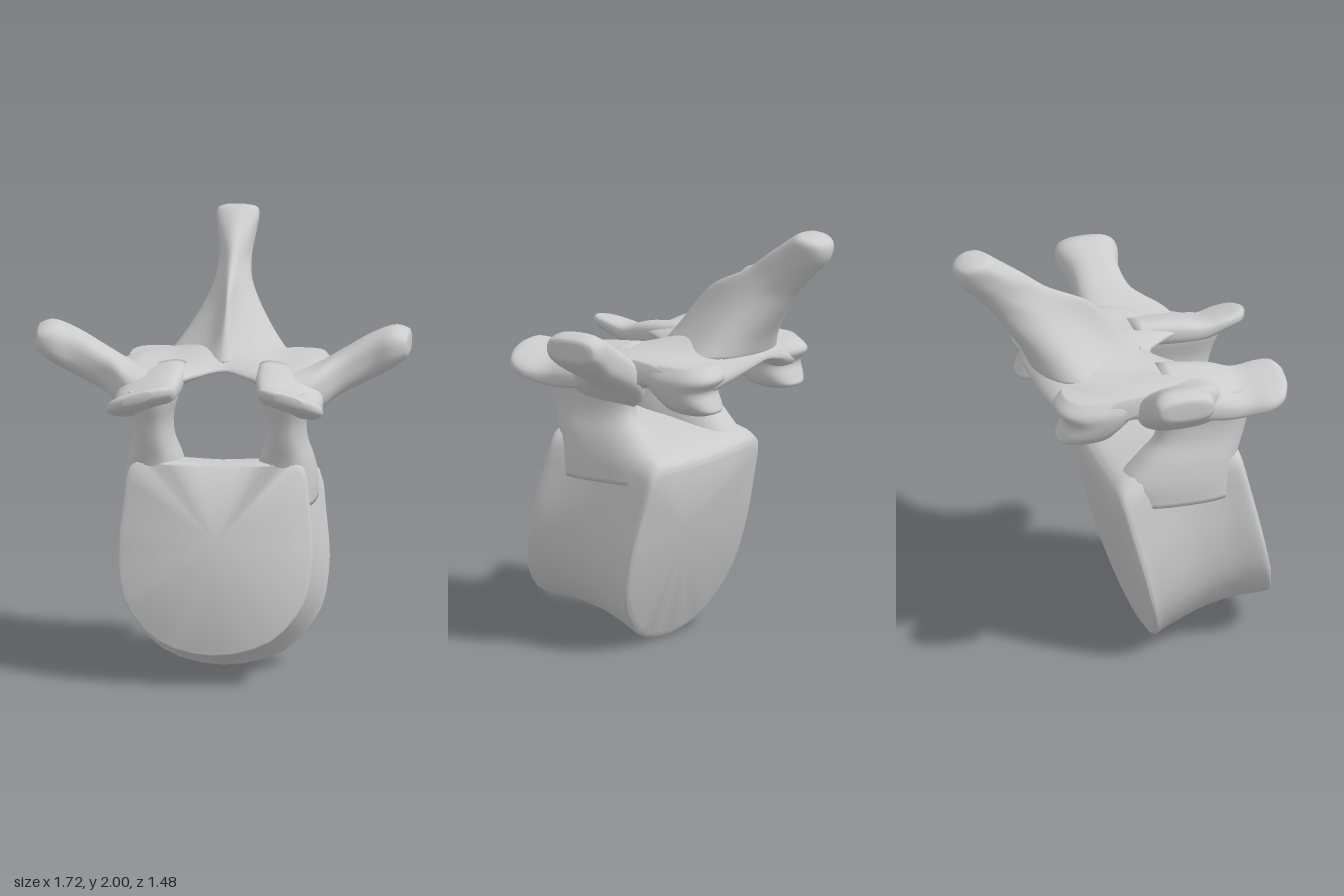
import * as THREE from 'three';
import { toCreasedNormals } from 'three/addons/utils/BufferGeometryUtils.js';

const SIDES = 40;
const material = new THREE.MeshStandardMaterial({ color: 0xcccccc });
const V = (x, y, z) => new THREE.Vector3(x, y, z);

// Closed smooth ring through a few control points
function smoothRing(points) {
  const curve = new THREE.CatmullRomCurve3(points, true, 'catmullrom', 0.5);
  return Array.from({ length: SIDES }, (_, i) => curve.getPoint(i / SIDES));
}

// Rounded-box ring across an axis: a and b are the ranges of the two other coordinates
function ovalRing(axis, at, a0, a1, b0, b1, slope = 0) {
  return Array.from({ length: SIDES }, (_, i) => {
    const t = (i / SIDES) * Math.PI * 2, c = Math.cos(t), s = Math.sin(t);
    const u = Math.sign(c) * Math.abs(c) ** 0.75 * (a1 - a0) / 2;
    const a = (a0 + a1) / 2 + u;
    const b = (b0 + b1) / 2 + Math.sign(s) * Math.abs(s) ** 0.75 * (b1 - b0) / 2 + slope * u;
    if (axis === 'x') return V(at, b, a);
    return axis === 'y' ? V(a, at, b) : V(a, b, at);
  });
}

// Smooth skin over rings, closed by caps that may be dished inward
function loft(rings, { dish = 0, side = 1 } = {}) {
  const count = (rings.length - 1) * 5 + 1;
  const pos = [], index = [];
  const lines = Array.from({ length: SIDES }, (_, i) => new THREE.CatmullRomCurve3(rings.map(r => r[i]), false, 'catmullrom', 0.5));
  const put = p => pos.push(p.x * side, p.y, p.z);
  for (let k = 0; k < count; k++) lines.forEach(l => put(l.getPoint(k / (count - 1))));
  for (let k = 0; k < count - 1; k++) {
    for (let i = 0; i < SIDES; i++) {
      const j = (i + 1) % SIDES, a = k * SIDES + i, b = k * SIDES + j;
      index.push(a, b, b + SIDES, a, b + SIDES, a + SIDES);
    }
  }
  const middle = ring => ring.reduce((m, p) => m.add(p), V(0, 0, 0)).divideScalar(SIDES);
  const first = middle(rings[0]), last = middle(rings[rings.length - 1]);
  const inward = last.clone().sub(first).normalize().multiplyScalar(dish);
  put(first.add(inward));
  put(last.sub(inward));
  const c0 = count * SIDES, end = (count - 1) * SIDES;
  for (let i = 0; i < SIDES; i++) {
    const j = (i + 1) % SIDES;
    index.push(c0, j, i, c0 + 1, end + i, end + j);
  }
  // Turn the faces outward when the enclosed volume comes out negative
  let volume = 0;
  const at = i => V(pos[i * 3], pos[i * 3 + 1], pos[i * 3 + 2]);
  for (let i = 0; i < index.length; i += 3) volume += at(index[i]).dot(at(index[i + 1]).cross(at(index[i + 2])));
  if (volume < 0) index.reverse();
  const geometry = new THREE.BufferGeometry();
  geometry.setAttribute('position', new THREE.Float32BufferAttribute(pos, 3));
  geometry.setIndex(index);
  geometry.computeVertexNormals();
  return geometry;
}

export function createModel() {
  const group = new THREE.Group();
  const add = (name, geometry) => {
    const mesh = new THREE.Mesh(geometry, material);
    mesh.name = name;
    group.add(mesh);
  };
  const addPair = (name, rings) => {
    add('left' + name, loft(rings));
    add('right' + name, loft(rings, { side: -1 }));
  };

  // Vertebral body: U-shaped sections from the front face to the back face
  const half = [[0.5, 1.01], [0.87, 1], [0.96, 0.78], [1, 0.52], [0.91, 0.27], [0.56, 0.07]];
  const outline = [[0, 1], ...half, [0, 0], ...half.map(([x, y]) => [-x, y]).reverse()];
  const bodyRings = [
    // half width, bottom y, top y, bottom z, top z
    [0.43, 0.16, 0.99, 0.72, 0.53],
    [0.45, 0.14, 1.0, 0.70, 0.50],
    [0.425, 0.125, 0.99, 0.54, 0.38],
    [0.425, 0.085, 0.97, 0.38, 0.22],
    [0.465, 0.02, 0.92, 0.21, 0.01],
    [0.48, 0.0, 0.88, 0.165, -0.055],
    [0.455, 0.03, 0.84, 0.14, -0.07],
  ].map(([w, y0, y1, z0, z1]) => smoothRing(outline.map(([x, t]) => V(x * w, y0 + (y1 - y0) * t, z0 + (z1 - z0) * t))));
  add('vertebralBody', toCreasedNormals(loft(bodyRings, { dish: 0.035 }), 0.9));

  // Pedicles: pillars on both sides of the canal
  addPair('Pedicle', [
    [0.8, 0.16, 0.44, -0.03, 0.52],
    [0.9, 0.16, 0.44, -0.02, 0.52],
    [1.0, 0.18, 0.425, 0.06, 0.53],
    [1.1, 0.21, 0.4, 0.14, 0.56],
    [1.2, 0.215, 0.4, 0.14, 0.585],
    [1.3, 0.19, 0.43, 0.1, 0.62],
    [1.34, 0.19, 0.42, 0.1, 0.6],
  ].map(r => ovalRing('y', ...r)));

  // Upper joint facets: tilted spatulas pointing forward
  addPair('UpperFacet', [
    [0.18, 0.16, 0.46, 1.27, 1.41],
    [0.4, 0.17, 0.48, 1.24, 1.39],
    [0.53, 0.19, 0.475, 1.24, 1.355],
    [0.64, 0.2, 0.5, 1.275, 1.365],
    [0.71, 0.225, 0.475, 1.30, 1.375],
    [0.745, 0.29, 0.41, 1.325, 1.37],
  ].map(r => ovalRing('z', ...r, -0.28)));

  // Transverse wings: arms flaring outward and up
  addPair('TransverseWing', [
    [0.3, 0.08, 0.48, 1.12, 1.39],
    [0.43, 0.02, 0.42, 1.2, 1.42],
    [0.54, 0.02, 0.29, 1.275, 1.475],
    [0.67, 0.02, 0.255, 1.34, 1.55],
    [0.78, -0.01, 0.28, 1.4, 1.59],
    [0.845, 0.0, 0.265, 1.45, 1.575],
    [0.86, 0.04, 0.22, 1.475, 1.555],
  ].map(r => ovalRing('x', ...r)));

  // Lower joint facets: square tongues hanging behind the arch
  addPair('LowerFacet', [
    [1.4, 0.2, 0.45, -0.3, 0.06],
    [1.34, 0.2, 0.485, -0.35, 0.04],
    [1.28, 0.21, 0.48, -0.31, 0.0],
    [1.22, 0.22, 0.46, -0.33, -0.06],
    [1.185, 0.24, 0.43, -0.34, -0.09],
    [1.165, 0.28, 0.39, -0.29, -0.14],
  ].map(r => ovalRing('y', ...r)));

  // Lamina: [z, y] sections across the arch, mirrored about the middle
  const laminaHalf = [
    [0, [[0.21, 1.38], [0.1, 1.43], [-0.1, 1.48], [-0.3, 1.47], [-0.39, 1.38], [-0.3, 1.37], [-0.1, 1.38], [0.1, 1.36]]],
    [0.12, [[0.31, 1.37], [0.15, 1.42], [-0.1, 1.46], [-0.3, 1.45], [-0.38, 1.36], [-0.3, 1.34], [-0.1, 1.35], [0.15, 1.34]]],
    [0.24, [[0.46, 1.36], [0.2, 1.41], [-0.1, 1.43], [-0.28, 1.4], [-0.35, 1.33], [-0.28, 1.28], [-0.1, 1.3], [0.2, 1.27]]],
    [0.38, [[0.42, 1.33], [0.2, 1.415], [-0.05, 1.42], [-0.22, 1.38], [-0.3, 1.3], [-0.22, 1.25], [-0.05, 1.28], [0.2, 1.22]]],
    [0.47, [[0.3, 1.33], [0.2, 1.4], [0, 1.4], [-0.12, 1.37], [-0.17, 1.32], [-0.12, 1.28], [0, 1.3], [0.2, 1.27]]],
  ];
  const laminaRings = [...laminaHalf.slice(1).reverse().map(([x, p]) => [-x, p]), ...laminaHalf]
    .map(([x, points]) => smoothRing(points.map(([z, y]) => V(x, y, z))));
  add('lamina', loft(laminaRings));

  // Spine: tent with a front ridge, rising back to a rounded knob
  const spineRings = [
    // y, half width, front z, back z, front fullness
    [1.4, 0.27, 0.17, -0.37, 0.45],
    [1.49, 0.2, 0.09, -0.41, 0.42],
    [1.6, 0.13, 0.0, -0.48, 0.4],
    [1.7, 0.085, -0.1, -0.55, 0.45],
    [1.79, 0.075, -0.28, -0.63, 0.6],
    [1.88, 0.088, -0.4, -0.72, 0.75],
    [1.95, 0.098, -0.5, -0.735, 0.85],
    [1.985, 0.09, -0.55, -0.7, 0.85],
    [2.0, 0.06, -0.58, -0.65, 0.85],
  ].map(([y, w, f, b, k]) => {
    const side = [[k, 0.25], [1, 0.62], [0.7, 0.9]];
    const loop = [[0, 0], ...side, [0, 1], ...side.map(([x, t]) => [-x, t]).reverse()];
    return smoothRing(loop.map(([x, t]) => V(x * w, y, f + (b - f) * t)));
  });
  add('spine', loft(spineRings));

  return group;
}
